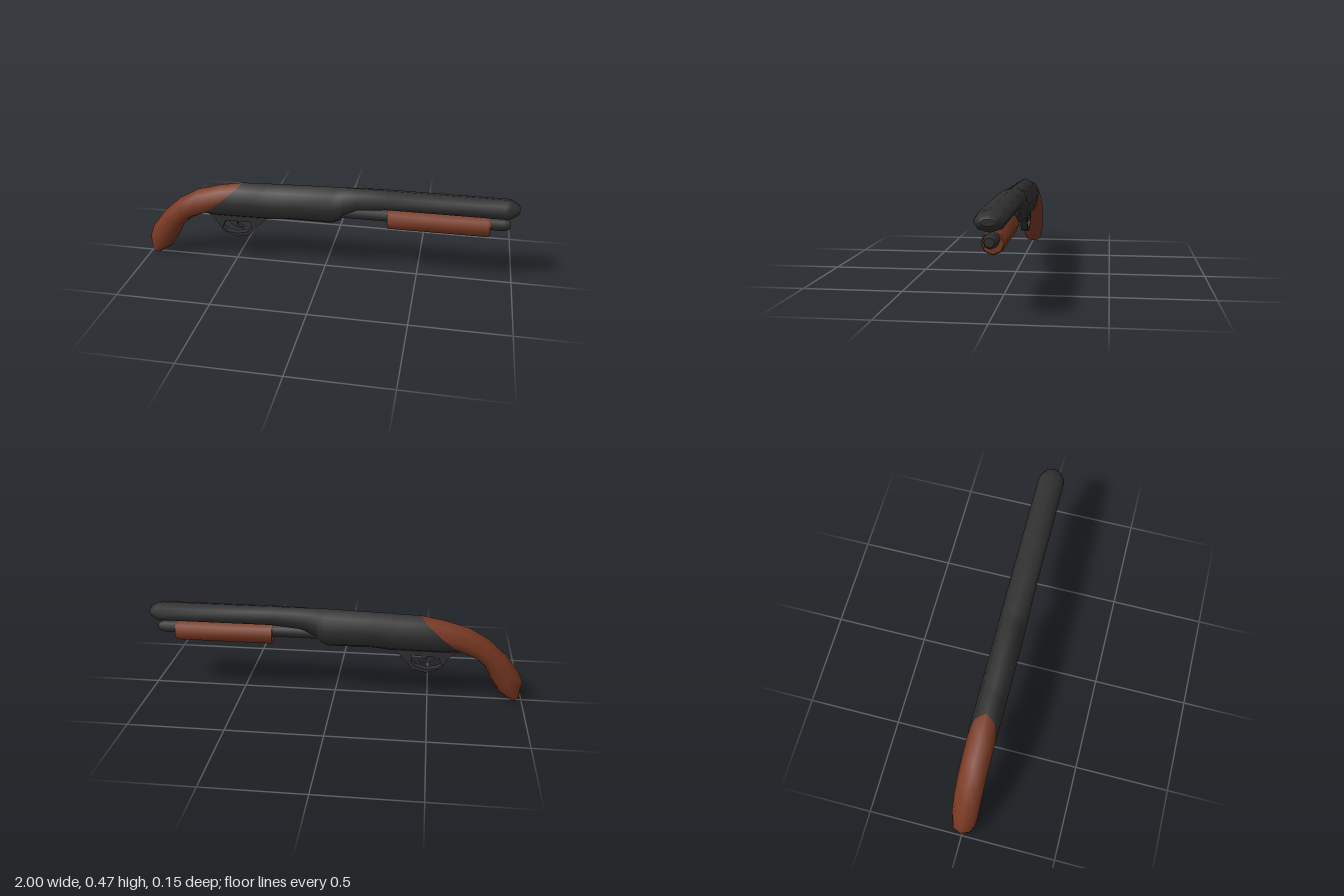
import * as THREE from 'three';

const SIDES = 8;

// Skin eight-sided elliptical rings, listed towards +x.
// Each ring: [topX, topY, bottomX, bottomY, halfWidth]; ends get flat caps.
function loft(rings) {
  const pos = [], idx = [];
  const addRing = ([tx, ty, bx, by, w]) => {
    const start = pos.length / 3;
    for (let k = 0; k < SIDES; k++) {
      const a = (k / SIDES) * Math.PI * 2, c = Math.cos(a) / 2;
      pos.push((tx + bx) / 2 + (tx - bx) * c, (ty + by) / 2 + (ty - by) * c, w * Math.sin(a));
    }
    return start;
  };
  const starts = rings.map(addRing);
  for (let i = 0; i < rings.length - 1; i++) {
    for (let k = 0; k < SIDES; k++) {
      const n = (k + 1) % SIDES, p = starts[i], q = starts[i + 1];
      idx.push(p + k, p + n, q + k, p + n, q + n, q + k);
    }
  }
  const first = addRing(rings[0]), last = addRing(rings[rings.length - 1]);
  for (let k = 1; k < SIDES - 1; k++) {
    idx.push(first, first + k + 1, first + k, last, last + k, last + k + 1);
  }
  const geo = new THREE.BufferGeometry();
  geo.setAttribute('position', new THREE.Float32BufferAttribute(pos, 3));
  geo.setIndex(idx);
  geo.computeVertexNormals();
  return geo;
}

// Straight ring at x, between two heights
const ring = (x, top, bottom, w) => [x, top, x, bottom, w];
const points = (list) => list.map(([x, y]) => new THREE.Vector2(x, y));

// Flat outline extruded evenly about z = 0
function plate(outline, depth, hole) {
  const shape = new THREE.Shape(points(outline));
  if (hole) shape.holes.push(new THREE.Path(points(hole)));
  const geo = new THREE.ExtrudeGeometry(shape, { depth, bevelEnabled: false });
  return geo.translate(0, 0, -depth / 2);
}

export function createModel() {
  const group = new THREE.Group();
  const metal = new THREE.MeshStandardMaterial({ color: 0x303030 });
  metal.name = 'dark metal';
  const wood = new THREE.MeshStandardMaterial({ color: 0x783822 });
  wood.name = 'reddish wood';
  const add = (name, geo, mat) => {
    const mesh = new THREE.Mesh(geo, mat);
    mesh.name = name;
    group.add(mesh);
  };

  // Curved pistol grip, from its butt up to the slanted joint
  add('grip', loft([
    [-0.99, 0.045, -0.945, 0.002, 0.046],
    [-1.0, 0.104, -0.88, 0.045, 0.062],
    [-0.975, 0.163, -0.835, 0.115, 0.069],
    [-0.9, 0.26, -0.794, 0.19, 0.071],
    [-0.805, 0.345, -0.755, 0.224, 0.072],
    [-0.7, 0.404, -0.73, 0.238, 0.072],
    [-0.57, 0.44, -0.705, 0.25, 0.073],
    [-0.447, 0.462, -0.675, 0.265, 0.073],
  ]), wood);

  // Receiver flowing into the barrel, with a rounded muzzle
  add('receiverAndBarrel', loft([
    [-0.447, 0.462, -0.675, 0.265, 0.073],
    [-0.4, 0.463, -0.61, 0.255, 0.074],
    [-0.34, 0.465, -0.44, 0.256, 0.075],
    ring(-0.3, 0.467, 0.258, 0.075),
    ring(-0.2, 0.47, 0.268, 0.075),
    ring(0.04, 0.477, 0.267, 0.075),
    ring(0.08, 0.477, 0.288, 0.075),
    ring(0.1, 0.477, 0.32, 0.074),
    ring(0.17, 0.477, 0.357, 0.073),
    ring(0.33, 0.477, 0.377, 0.072),
    ring(0.93, 0.477, 0.377, 0.072),
    ring(0.955, 0.474, 0.38, 0.068),
    ring(0.99, 0.457, 0.4, 0.046),
    ring(1.0, 0.445, 0.413, 0.032),
  ]), metal);

  // Magazine tube under the barrel
  add('magazineTube', loft([
    ring(0.04, 0.373, 0.304, 0.034),
    ring(0.93, 0.373, 0.304, 0.034),
    ring(0.962, 0.36, 0.317, 0.022),
  ]), metal);

  // Sliding wooden fore-end
  add('foreEnd', loft([
    ring(0.335, 0.376, 0.263, 0.055),
    ring(0.85, 0.376, 0.263, 0.055),
    ring(0.864, 0.37, 0.27, 0.049),
  ]), wood);

  // Trigger guard and trigger
  add('triggerGuard', plate(
    [[-0.64, 0.27], [-0.605, 0.235], [-0.565, 0.172], [-0.49, 0.143], [-0.415, 0.16],
      [-0.38, 0.205], [-0.31, 0.275]],
    0.04,
    [[-0.57, 0.192], [-0.55, 0.235], [-0.412, 0.24], [-0.405, 0.202], [-0.43, 0.177],
      [-0.49, 0.163], [-0.545, 0.172]],
  ), metal);
  add('trigger', plate(
    [[-0.54, 0.26], [-0.53, 0.225], [-0.505, 0.202], [-0.455, 0.192], [-0.45, 0.2],
      [-0.485, 0.213], [-0.495, 0.26]],
    0.024,
  ), metal);

  return group;
}
